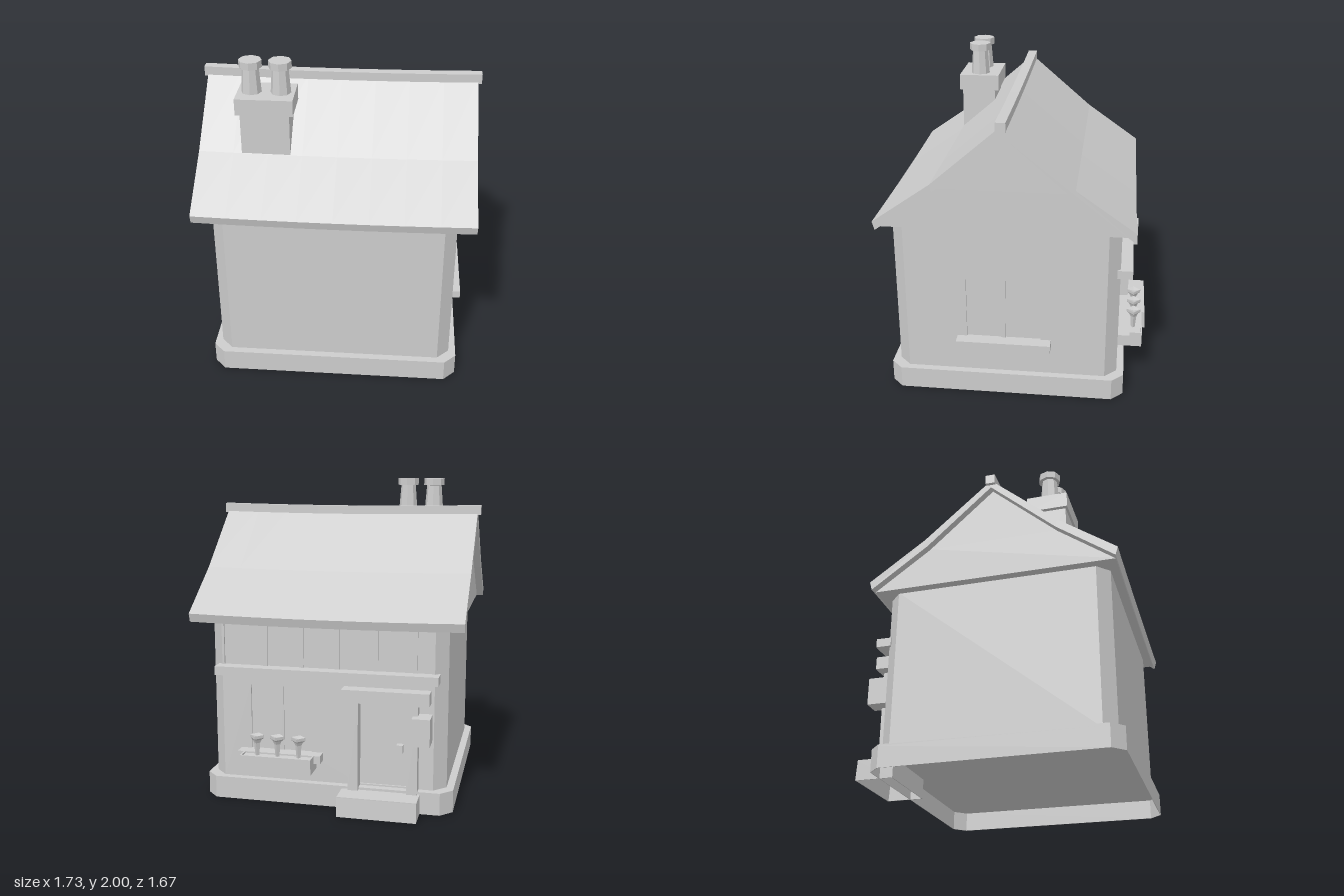
import * as THREE from 'three';

const plaster = new THREE.MeshStandardMaterial({ color: 0xcccccc });
plaster.name = 'plain grey';

export function createModel() {
  const house = new THREE.Group();
  house.name = 'cottage';

  const add = (name, geometry, parent = house) => {
    const mesh = new THREE.Mesh(geometry, plaster);
    mesh.name = name;
    parent.add(mesh);
    return mesh;
  };
  // box given by its limits on each axis
  const box = (name, x0, x1, y0, y1, z0, z1, parent) => {
    const g = new THREE.BoxGeometry(x1 - x0, y1 - y0, z1 - z0);
    g.translate((x0 + x1) / 2, (y0 + y1) / 2, (z0 + z1) / 2);
    return add(name, g, parent);
  };
  // outlines and holes all run counter-clockwise, so hole walls face inwards
  const shapeOf = (pts) => {
    const v = pts.map(([a, b]) => new THREE.Vector2(a, b));
    return new THREE.Shape(THREE.ShapeUtils.isClockWise(v) ? v.reverse() : v);
  };
  const rect = (a0, a1, b0, b1) => [[a0, b0], [a1, b0], [a1, b1], [a0, b1]];
  const extrude = (pts, holes, depth, steps = 1) => {
    const s = shapeOf(pts);
    holes.forEach((h) => s.holes.push(shapeOf(h)));
    return new THREE.ExtrudeGeometry(s, { depth, steps, bevelEnabled: false });
  };
  // plan outline in (x, z) raised from y0 to y1
  const raise = (plan, holes, y0, y1) => {
    const flip = (p) => p.map(([x, z]) => [x, -z]);
    return extrude(flip(plan), holes.map(flip), y1 - y0).rotateX(-Math.PI / 2).translate(0, y0, 0);
  };
  const octagon = (x0, x1, z0, z1, c) => [
    [x0 + c, z0], [x1 - c, z0], [x1, z0 + c], [x1, z1 - c],
    [x1 - c, z1], [x0 + c, z1], [x0, z1 - c], [x0, z0 + c]];
  // profile in (z, y) extruded along x, sagging gently at mid length
  const sagging = (profile, half) => {
    const g = extrude(profile, [], half * 2, 8).rotateY(-Math.PI / 2).translate(half, 0, 0);
    const p = g.attributes.position;
    for (let i = 0; i < p.count; i++) {
      p.setY(i, p.getY(i) - 0.01 * (1 - (p.getX(i) / 0.846) ** 2));
    }
    g.computeVertexNormals();
    return g;
  };
  // faceted turned part from an (r, y) profile
  const turned = (profile, sides) => {
    const pts = profile.map(([r, y]) => new THREE.Vector2(r, y));
    const g = new THREE.LatheGeometry(pts, sides).toNonIndexed();
    g.computeVertexNormals();
    return g;
  };

  // plinth, a thin skirt open below, with the floor near its top
  const plinthPlan = octagon(-0.79, 0.785, -0.685, 0.805, 0.073);
  add('plinth', raise(plinthPlan, [octagon(-0.786, 0.781, -0.681, 0.801, 0.072)], 0, 0.13));
  add('plinthTop', raise(plinthPlan, [], 0.125, 0.14));

  // wall core, set back slightly behind the two pierced walls
  add('wallCore', raise([
    [0.665, 0.76], [0.74, 0.685], [0.728, 0.685], [0.728, -0.565], [0.74, -0.565],
    [0.665, -0.64], [0.665, -0.628], [-0.67, -0.628], [-0.67, -0.64], [-0.745, -0.565],
    [-0.745, 0.685], [-0.67, 0.76]], [], 0.13, 1.145));

  // side wall with window opening
  add('sideWall', extrude(rect(-0.685, 0.565, 0.13, 1.145), [rect(-0.305, 0.16, 0.36, 0.795)], 0.012)
    .rotateY(Math.PI / 2).translate(0.728, 0, 0));
  box('sideMullion', 0.72, 0.737, 0.36, 0.795, 0.06, 0.09);
  box('sideSill', 0.72, 0.815, 0.33, 0.38, -0.225, 0.365);

  // entrance wall with door, window and frieze openings
  add('entranceWall', extrude(rect(-0.67, 0.665, 0.13, 1.145), [
    rect(-0.515, -0.21, 0.15, 0.685),
    rect(0.09, 0.48, 0.3, 0.74),
    rect(-0.65, 0.65, 0.85, 1.13)], 0.012).translate(0, 0, -0.64));
  box('entranceMullion', 0.27, 0.3, 0.3, 0.74, -0.637, -0.62);
  for (const x of [0.385, 0.155, -0.07, -0.31, -0.55]) {
    box('friezeStud', x - 0.014, x + 0.014, 0.85, 1.135, -0.638, -0.62);
  }
  box('friezeBeam', -0.7, 0.69, 0.81, 0.865, -0.715, -0.62);

  // doorway
  const doorway = new THREE.Group();
  doorway.name = 'doorway';
  house.add(doorway);
  for (const x of [-0.58, -0.215]) {
    box('doorPost', x, x + 0.065, 0.12, 0.69, -0.705, -0.62, doorway);
  }
  box('doorCanopy', -0.65, -0.115, 0.685, 0.765, -0.73, -0.62, doorway);
  box('doorHandle', -0.485, -0.445, 0.37, 0.42, -0.67, -0.62, doorway);
  box('letterBox', -0.66, -0.55, 0.45, 0.62, -0.765, -0.64, doorway);
  // step, open below and splayed at its foot
  const stepSkirt = raise(rect(-0.595, -0.11, -0.83, -0.6), [rect(-0.59, -0.115, -0.825, -0.605)], 0, 0.12);
  const sp = stepSkirt.attributes.position;
  for (let i = 0; i < sp.count; i++) {
    if (sp.getY(i) < 0.01 && sp.getZ(i) < -0.8) sp.setZ(i, sp.getZ(i) - 0.007);
  }
  stepSkirt.computeVertexNormals();
  add('doorStepSkirt', stepSkirt, doorway);
  box('doorStepTop', -0.595, -0.11, 0.112, 0.125, -0.83, -0.6, doorway);

  // window box with flowers
  const planter = new THREE.Group();
  planter.name = 'planter';
  house.add(planter);
  box('planterSill', 0.02, 0.55, 0.28, 0.33, -0.715, -0.62, planter);
  add('planterBox', raise(rect(0.06, 0.51, -0.795, -0.64),
    [rect(0.07, 0.5, -0.785, -0.65)], 0.23, 0.33), planter);
  box('planterSoil', 0.065, 0.505, 0.231, 0.32, -0.79, -0.645, planter);
  const flower = [[0, 0.31], [0.012, 0.31], [0.02, 0.4], [0.03, 0.42],
    [0.045, 0.432], [0.045, 0.45], [0, 0.44]];
  for (const x of [0.15, 0.285, 0.415]) {
    add('flower', turned(flower, 4), planter).position.set(x, 0, -0.737);
  }

  // roof shell, gable infill and ridge
  const outer = [[0.835, 1.19], [0.48, 1.44], [0.06, 1.805], [-0.365, 1.44], [-0.72, 1.19]];
  const inner = [[-0.705, 1.137], [-0.35, 1.39], [0.06, 1.755], [0.47, 1.39], [0.82, 1.137]];
  add('roof', sagging([...outer, ...inner], 0.846));
  add('gables', sagging([[-0.705, 1.142], [-0.352, 1.398], [0.06, 1.765], [0.472, 1.398], [0.82, 1.142]], 0.8));
  add('ridgeCap', sagging(rect(0.03, 0.09, 1.772, 1.833), 0.867));

  // chimney
  const chimney = new THREE.Group();
  chimney.name = 'chimney';
  house.add(chimney);
  box('chimneyShaft', -0.582, -0.285, 1.3, 1.7, 0.26, 0.478, chimney);
  box('chimneyCap', -0.608, -0.26, 1.695, 1.797, 0.23, 0.493, chimney);
  const pot = [[0.063, 1.79], [0.05, 1.953], [0.07, 1.955], [0.07, 2], [0, 2]];
  for (const x of [-0.523, -0.345]) {
    add('chimneyPot', turned(pot, 8), chimney).position.set(x, 0, 0.363);
  }
  return house;
}
